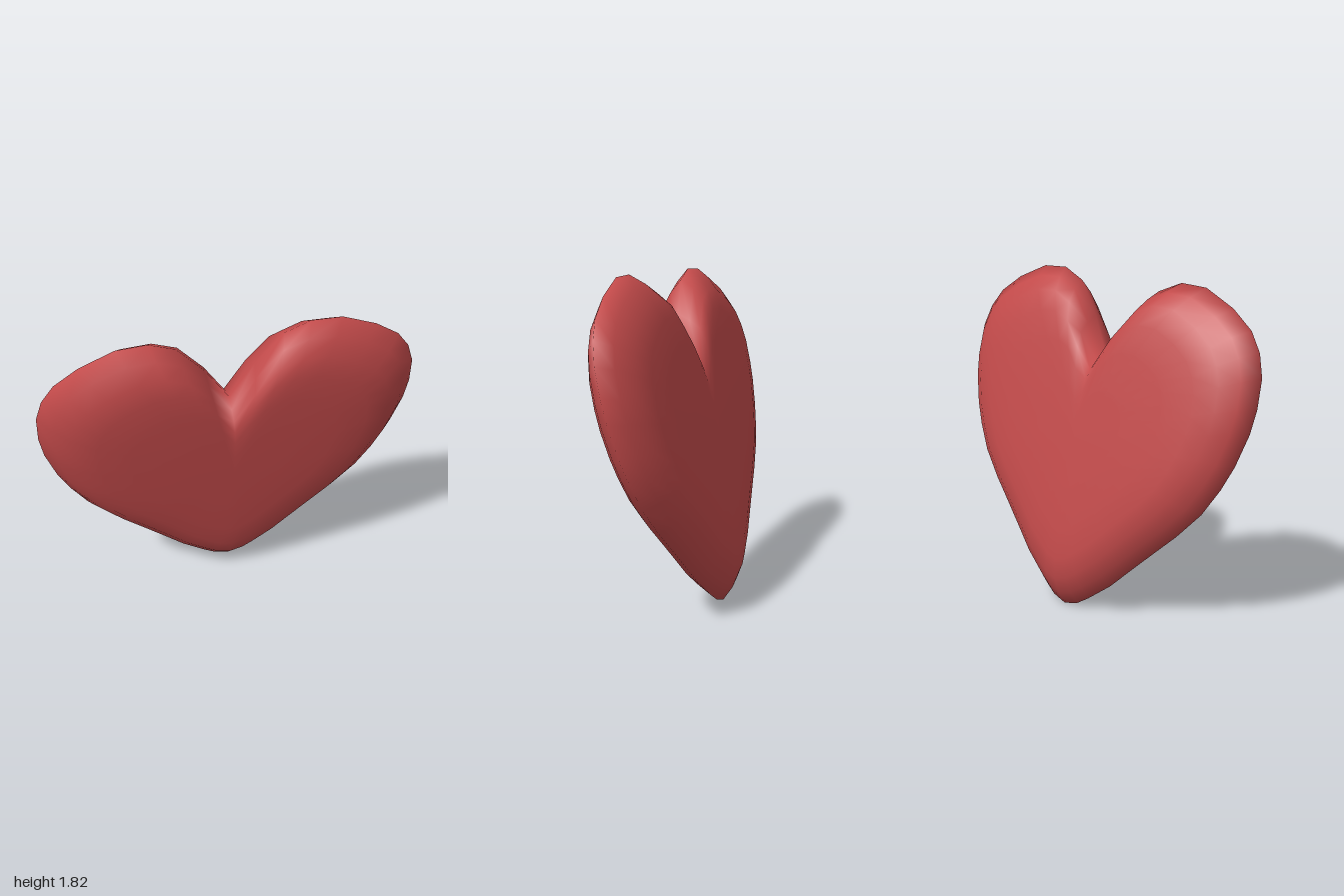
import * as THREE from 'three';

// Right half of the outline, from the cleft round the lobe to the tip
const HALF = [
  [0, 1.387], [0.13, 1.608], [0.275, 1.788], [0.413, 1.847], [0.573, 1.84],
  [0.758, 1.757], [0.888, 1.662], [0.958, 1.562], [0.997, 1.444], [1.003, 1.29],
  [0.987, 1.16], [0.937, 0.987], [0.88, 0.857], [0.793, 0.707], [0.665, 0.558],
  [0.527, 0.42], [0.4, 0.291], [0.295, 0.183], [0.16, 0.075], [0.09, 0.027], [0, 0],
];

// Cushion section from the middle to the rim: [outline scale, half thickness]
const SECTION = [[0, 0.165], [0.3, 0.164], [0.55, 0.16], [0.72, 0.149], [0.84, 0.123], [0.93, 0.068], [1, 0]];
const MIDDLE = 0.95;

function heartGeometry() {
  const mirrored = HALF.slice(1, -1).reverse().map(([x, y]) => [-x, y]);
  const outline = [...HALF, ...mirrored];
  const back = SECTION.slice(0, -1).reverse().map(([s, d]) => [s, -d]);
  const rings = [...SECTION, ...back];
  const n = outline.length, last = rings.length - 1;

  // Rings of scaled outlines run from the front middle over the rim to the back middle
  const positions = [], index = [];
  for (const [s, d] of rings) {
    for (const [x, y] of outline) positions.push(x * s, MIDDLE + (y - MIDDLE) * s, d);
  }
  const id = (r, i) => r * n + (r === 0 || r === last ? 0 : i % n);
  for (let r = 0; r < last; r++) {
    for (let i = 0; i < n; i++) {
      const a = id(r, i), b = id(r, i + 1), c = id(r + 1, i), d = id(r + 1, i + 1);
      if (c !== d) index.push(d, c, a);
      if (a !== b) index.push(d, a, b);
    }
  }
  const geometry = new THREE.BufferGeometry();
  geometry.setAttribute('position', new THREE.Float32BufferAttribute(positions, 3));
  geometry.setIndex(index);

  // Lean the heart forward at the top, with a slight turn and roll
  const normal = new THREE.Vector3(-0.08, -0.22, 1).normalize();
  const across = new THREE.Vector3(1, 0.035, 0.088).normalize();
  const up = new THREE.Vector3().crossVectors(normal, across).normalize();
  across.crossVectors(up, normal);
  const pose = new THREE.Matrix4().makeBasis(across, up, normal).setPosition(0.065, 0, -0.22);
  geometry.applyMatrix4(pose);
  geometry.computeVertexNormals();
  return geometry;
}

export function createModel() {
  const group = new THREE.Group();
  group.name = 'heart';
  const material = new THREE.MeshStandardMaterial({ color: 0xc24a4a });
  const body = new THREE.Mesh(heartGeometry(), material);
  body.name = 'heartBody';
  group.add(body);
  return group;
}
